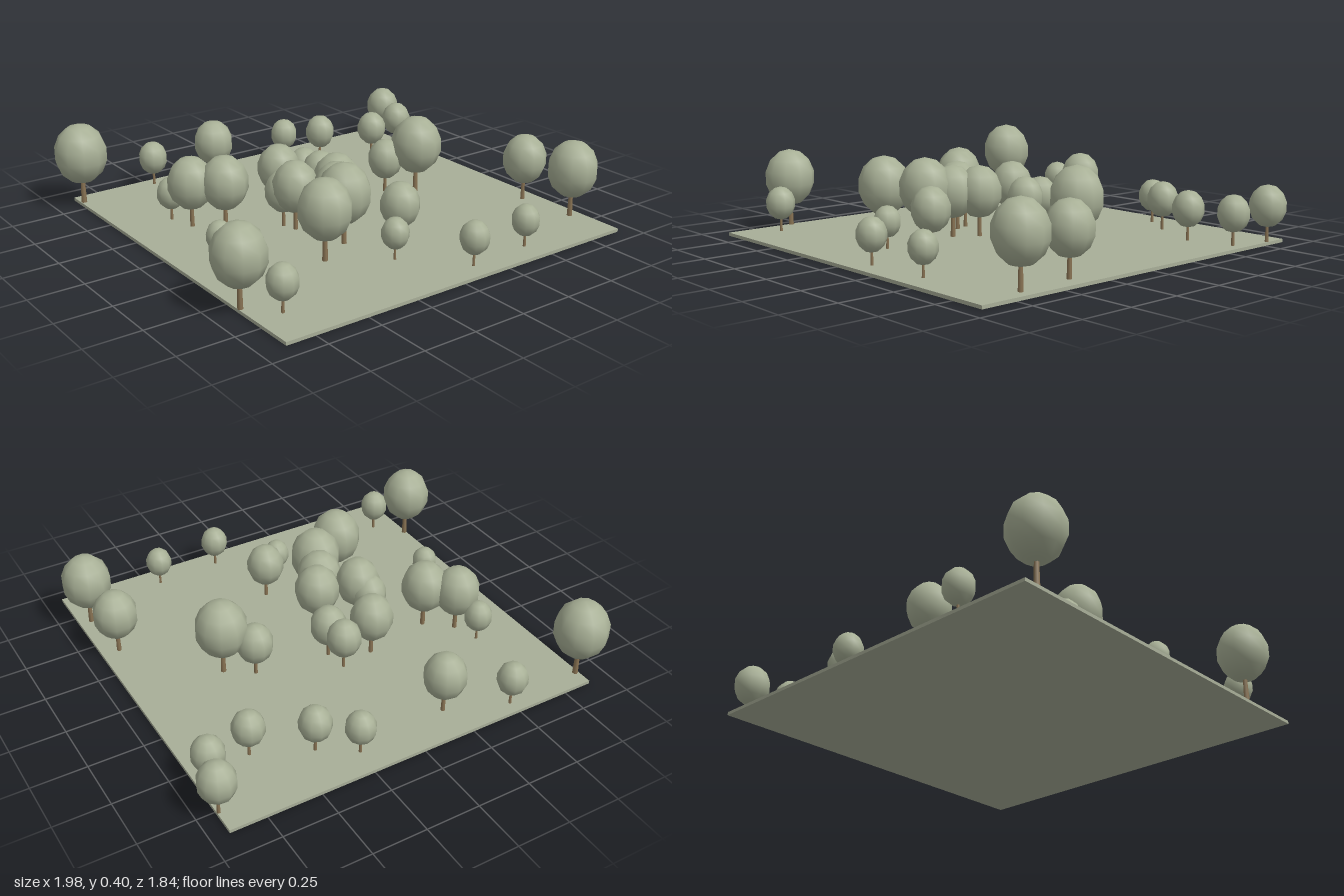
import * as THREE from 'three';

// Each tree: x, z, crown radius
const TREES = [
  [-0.87, -0.80, 0.125], [-0.485, -0.82, 0.07], [-0.205, -0.71, 0.097],
  [0.245, -0.755, 0.068], [0.40, -0.65, 0.074], [0.65, -0.535, 0.074],
  [0.91, -0.77, 0.084], [0.86, -0.59, 0.074], [-0.64, -0.365, 0.066],
  [-0.605, -0.24, 0.107], [-0.49, -0.14, 0.11], [-0.16, -0.20, 0.10],
  [0.005, -0.23, 0.081], [0.02, -0.12, 0.085], [-0.705, 0.165, 0.06],
  [-0.27, 0.0, 0.086], [-0.25, 0.065, 0.105], [-0.05, 0.10, 0.106],
  [-0.12, 0.20, 0.107], [-0.17, 0.32, 0.12], [-0.345, 0.42, 0.12],
  [0.035, 0.45, 0.09], [-0.10, 0.585, 0.062], [-0.875, 0.59, 0.118],
  [-0.76, 0.715, 0.068], [0.125, 0.83, 0.066], [0.44, 0.81, 0.063],
  [0.86, 0.68, 0.117], [0.835, 0.40, 0.104], [0.49, 0.015, 0.122],
  [0.37, -0.07, 0.085],
];
const GROUND_H = 0.015;

export function createModel() {
  const model = new THREE.Group();
  model.name = 'grove';

  const grass = new THREE.MeshStandardMaterial({ color: 0xa8ae98 });
  grass.name = 'grass';
  const leaves = new THREE.MeshStandardMaterial({ color: 0xa8b096 });
  leaves.name = 'leaves';
  const bark = new THREE.MeshStandardMaterial({ color: 0x8a7454 });
  bark.name = 'bark';

  // Thin square of ground
  const ground = new THREE.Mesh(new THREE.BoxGeometry(1.803, GROUND_H, 1.80), grass);
  ground.name = 'ground';
  ground.position.set(0.0165, GROUND_H / 2, 0.02);
  model.add(ground);

  // Unit tree, scaled by its crown radius
  const crownGeometry = new THREE.SphereGeometry(1, 10, 7);
  crownGeometry.scale(1, 1.15, 1);
  const trunkGeometry = new THREE.CylinderGeometry(0.07, 0.105, 1.3, 6);
  trunkGeometry.translate(0, 0.65, 0);

  TREES.forEach(([x, z, radius], i) => {
    const tree = new THREE.Group();
    tree.name = `tree${i + 1}`;
    const trunk = new THREE.Mesh(trunkGeometry, bark);
    trunk.name = 'trunk';
    const crown = new THREE.Mesh(crownGeometry, leaves);
    crown.name = 'crown';
    crown.position.y = 1.95;
    tree.add(trunk, crown);
    tree.position.set(x, GROUND_H, z);
    tree.rotation.y = i * 2.4;
    tree.scale.setScalar(radius);
    model.add(tree);
  });

  return model;
}
